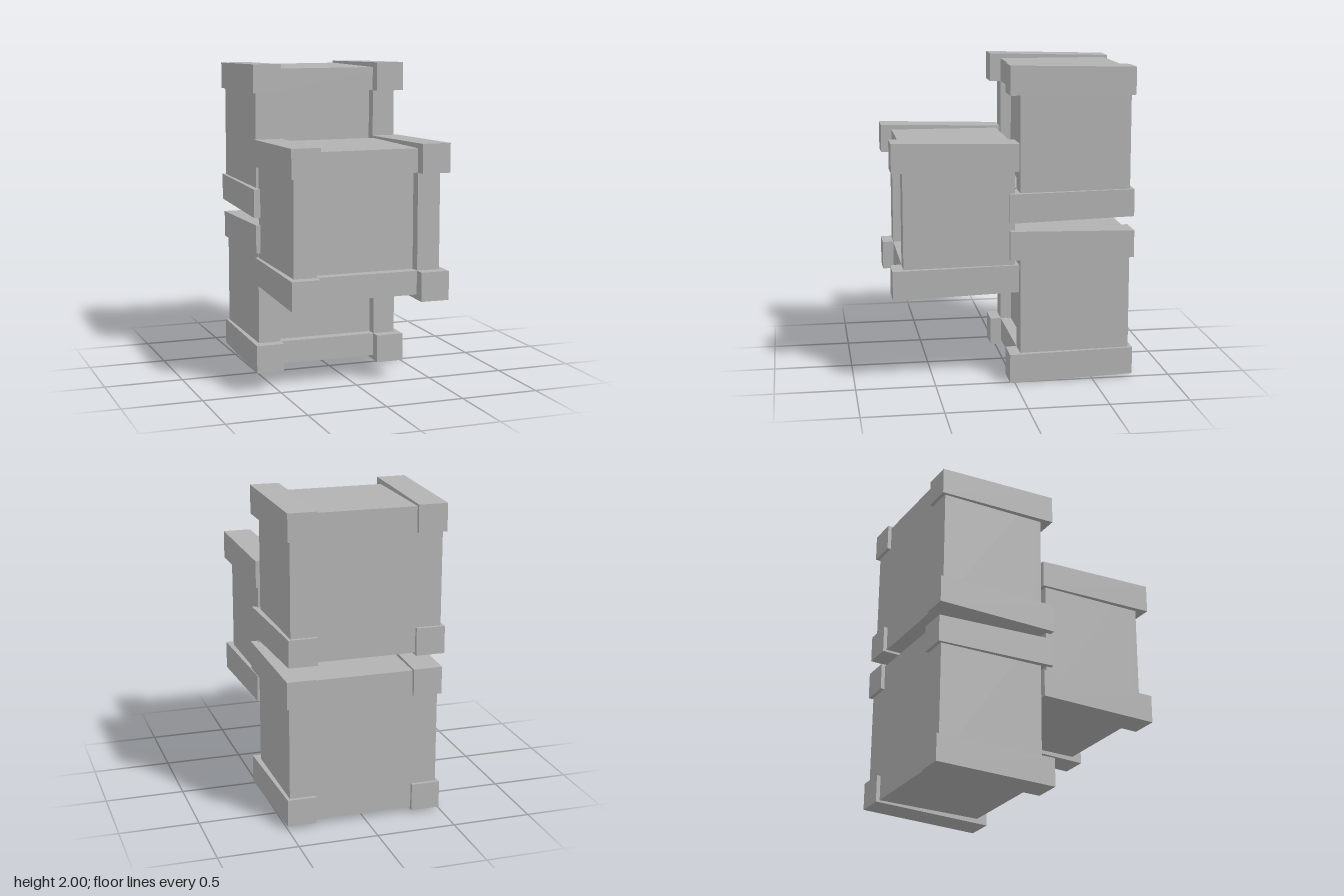
import * as THREE from 'three';

const grey = new THREE.MeshStandardMaterial({ color: 0xb2b2b2 });
grey.name = 'plain grey';

const BACK = -0.76, FRONT = 0.03;          // rail ends
const BODY_BACK = -0.735, BODY_FRONT = -0.04, PANEL = -0.11;
const HALF_W = 0.476, HALF_H = 0.455;      // body half sizes
const OPEN_W = 0.328, OPEN_H = 0.305;      // half sizes of the front recess

function add(group, name, geometry) {
  const mesh = new THREE.Mesh(geometry, grey);
  mesh.name = name;
  group.add(mesh);
}

// Corner rail running front to back, closing in slightly towards the back
function railGeometry(sx, sy) {
  const g = new THREE.BoxGeometry(1, 1, 1);
  const p = g.attributes.position;
  for (let i = 0; i < p.count; i++) {
    const front = p.getZ(i) > 0;
    const outerX = p.getX(i) * sx > 0, outerY = p.getY(i) * sy > 0;
    const x = outerX ? (front ? 0.512 : 0.495) : (front ? 0.328 : 0.312);
    const y = outerY ? (front ? 0.488 : 0.468) : (front ? 0.305 : 0.295);
    p.setXYZ(i, x * sx, y * sy, front ? FRONT : BACK);
  }
  const flat = g.toNonIndexed();
  flat.computeVertexNormals();
  return flat;
}

function rectangle(Type, w, h) {
  return new Type([[-w, -h], [w, -h], [w, h], [-w, h]].map(([x, y]) => new THREE.Vector2(x, y)));
}

function makeCrate(name, x, y, z) {
  const crate = new THREE.Group();
  crate.name = name;
  crate.position.set(x, y, z);

  // Solid body behind the recessed front panel
  const body = new THREE.BoxGeometry(HALF_W * 2, HALF_H * 2, PANEL - BODY_BACK);
  body.translate(0, 0, (PANEL + BODY_BACK) / 2);
  add(crate, 'body', body);

  // Posts and crossbars around the recess
  const outline = rectangle(THREE.Shape, HALF_W, HALF_H);
  outline.holes.push(rectangle(THREE.Path, OPEN_W, OPEN_H));
  const frame = new THREE.ExtrudeGeometry(outline, { depth: BODY_FRONT - PANEL, bevelEnabled: false });
  frame.translate(0, 0, PANEL);
  add(crate, 'frontFrame', frame);

  // Four corner rails
  for (const sx of [-1, 1]) for (const sy of [-1, 1]) {
    add(crate, (sy > 0 ? 'top' : 'bottom') + (sx > 0 ? 'Left' : 'Right') + 'Rail', railGeometry(sx, sy));
  }
  return crate;
}

export function createModel() {
  const model = new THREE.Group();
  model.name = 'crateStack';
  model.add(
    makeCrate('upperCrate', -0.008, 1.512, 0),
    makeCrate('lowerCrate', 0.004, 0.488, 0),
    makeCrate('frontCrate', -0.003, 1.052, 0.73)
  );
  return model;
}
